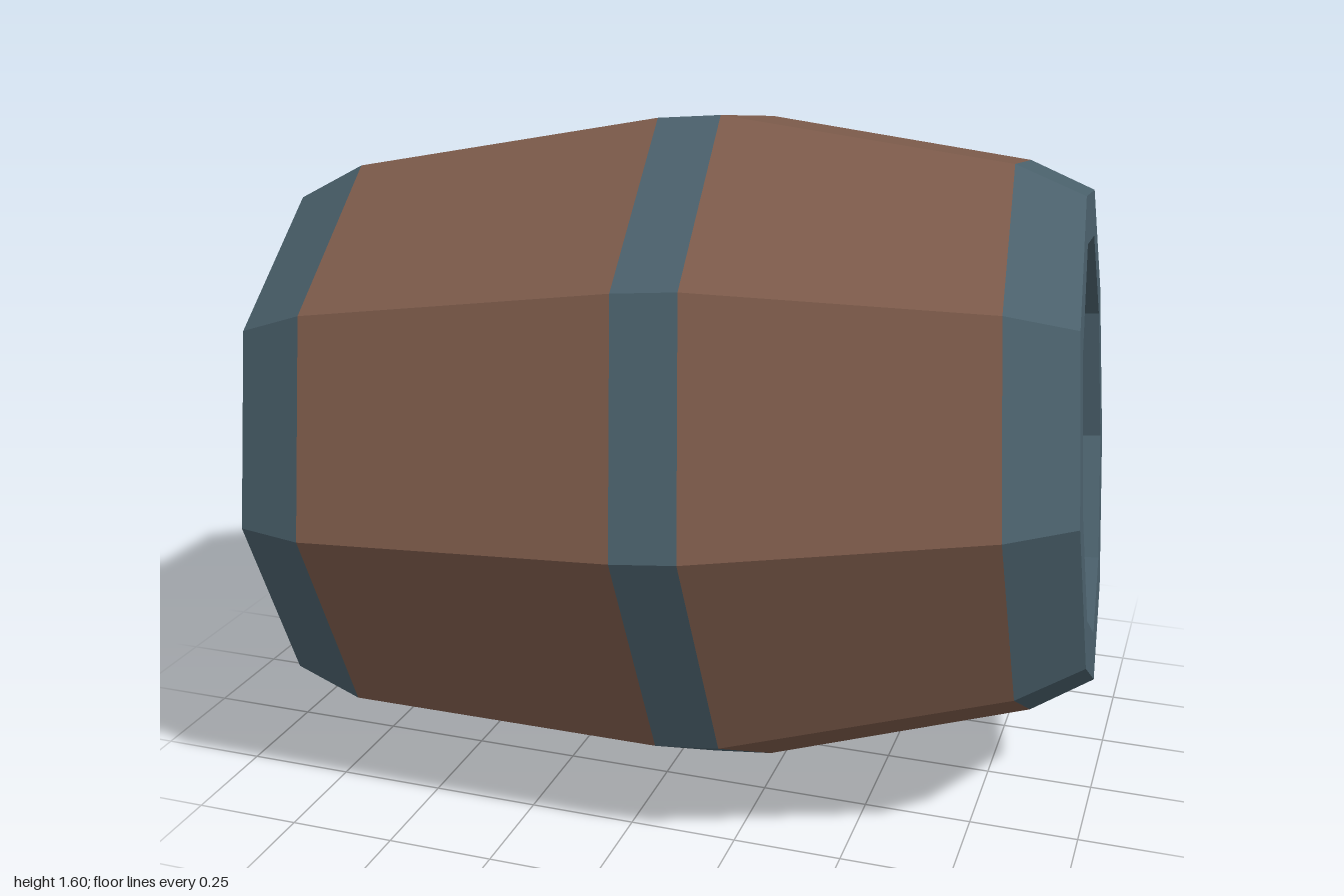
import * as THREE from 'three';

const SIDES = 9;

const flat = (color) => new THREE.MeshStandardMaterial({ color, flatShading: true });

export function createModel() {
  const wood = flat(0x7c5a4a);
  const metal = flat(0x4a606b);
  const bungWood = flat(0xd99a4a);
  const model = new THREE.Group();
  model.name = 'barrel';

  // Tilted frame: local y runs along the barrel, local z points at one corner
  const axis = new THREE.Vector3(1, 0.081, -0.076).normalize();
  const phase = THREE.MathUtils.degToRad(-28.8);
  const corner = new THREE.Vector3(0, Math.cos(phase), Math.sin(phase));
  corner.addScaledVector(axis, -corner.dot(axis)).normalize();
  const side = new THREE.Vector3().crossVectors(axis, corner);
  const cask = new THREE.Group();
  cask.name = 'cask';
  cask.quaternion.setFromRotationMatrix(new THREE.Matrix4().makeBasis(side, axis, corner));
  cask.position.set(0, 0.798, -0.008);
  model.add(cask);

  const add = (parent, name, geometry, material) => {
    const mesh = new THREE.Mesh(geometry, material);
    mesh.name = name;
    parent.add(mesh);
    return mesh;
  };

  // Nine-sided ring turned from [radius, position along the barrel] points
  const ring = (name, points, material) =>
    add(cask, name, new THREE.LatheGeometry(points.map(([r, s]) => new THREE.Vector2(r, s)), SIDES), material);

  // Staves and hoops
  ring('rightStaves', [[0.725, -0.735], [0.81, 0.005]], wood);
  ring('leftStaves', [[0.81, 0.15], [0.67, 0.79]], wood);
  ring('middleHoop', [[0.81, 0.005], [0.81, 0.15]], metal);
  ring('rightEndHoop', [[0.53, -0.78], [0.53, -0.905], [0.65, -0.905], [0.725, -0.735]], metal);
  ring('leftEndHoop', [[0.67, 0.79], [0.59, 0.94], [0.477, 0.94], [0.477, 0.815]], metal);

  // Recessed heads: uneven planks over a backing disc
  const bands = [[-0.49, -0.255, 0.012], [-0.245, 0.068, 0], [0.086, 0.214, 0.008], [0.218, 0.49, 0]];
  const buildHead = (name, s, dir, scale) => {
    const head = new THREE.Group();
    head.name = name;
    head.position.y = s;
    cask.add(head);
    const r = 0.55 * scale;
    for (const [a, b, sink] of bands) {
      const lo = a * scale, hi = b * scale;
      const wLo = Math.sqrt(r * r - lo * lo), wHi = Math.sqrt(r * r - hi * hi);
      const shape = new THREE.Shape([
        new THREE.Vector2(-wLo, lo), new THREE.Vector2(wLo, lo),
        new THREE.Vector2(wHi, hi), new THREE.Vector2(-wHi, hi),
      ]);
      const geometry = new THREE.ExtrudeGeometry(shape, { depth: 0.04, bevelEnabled: false });
      geometry.rotateX(Math.PI / 2).translate(0, 0.02, 0);
      add(head, 'plank', geometry, wood).position.y = -dir * (0.02 + sink);
    }
    const backing = add(head, 'backing', new THREE.CylinderGeometry(r, r, 0.02, SIDES), wood);
    backing.position.y = -dir * 0.05;
  };
  buildHead('leftHead', 0.84, 1, 1);
  buildHead('rightHead', -0.805, -1, 1.11);

  // Five-sided bung, flared outwards and leaning a little
  const bungAxis = new THREE.Vector3(-1, -0.21, 0.16).normalize();
  const up = new THREE.Vector3(0, 1, 0.08);
  up.addScaledVector(bungAxis, -up.dot(bungAxis)).normalize();
  const across = new THREE.Vector3().crossVectors(bungAxis, up);
  const bung = add(model, 'bung', new THREE.CylinderGeometry(0.112, 0.085, 0.25, 5).translate(0, -0.125, 0), bungWood);
  bung.quaternion.setFromRotationMatrix(new THREE.Matrix4().makeBasis(across, bungAxis, up));
  bung.position.set(-0.975, 0.424, -0.008);

  return model;
}
